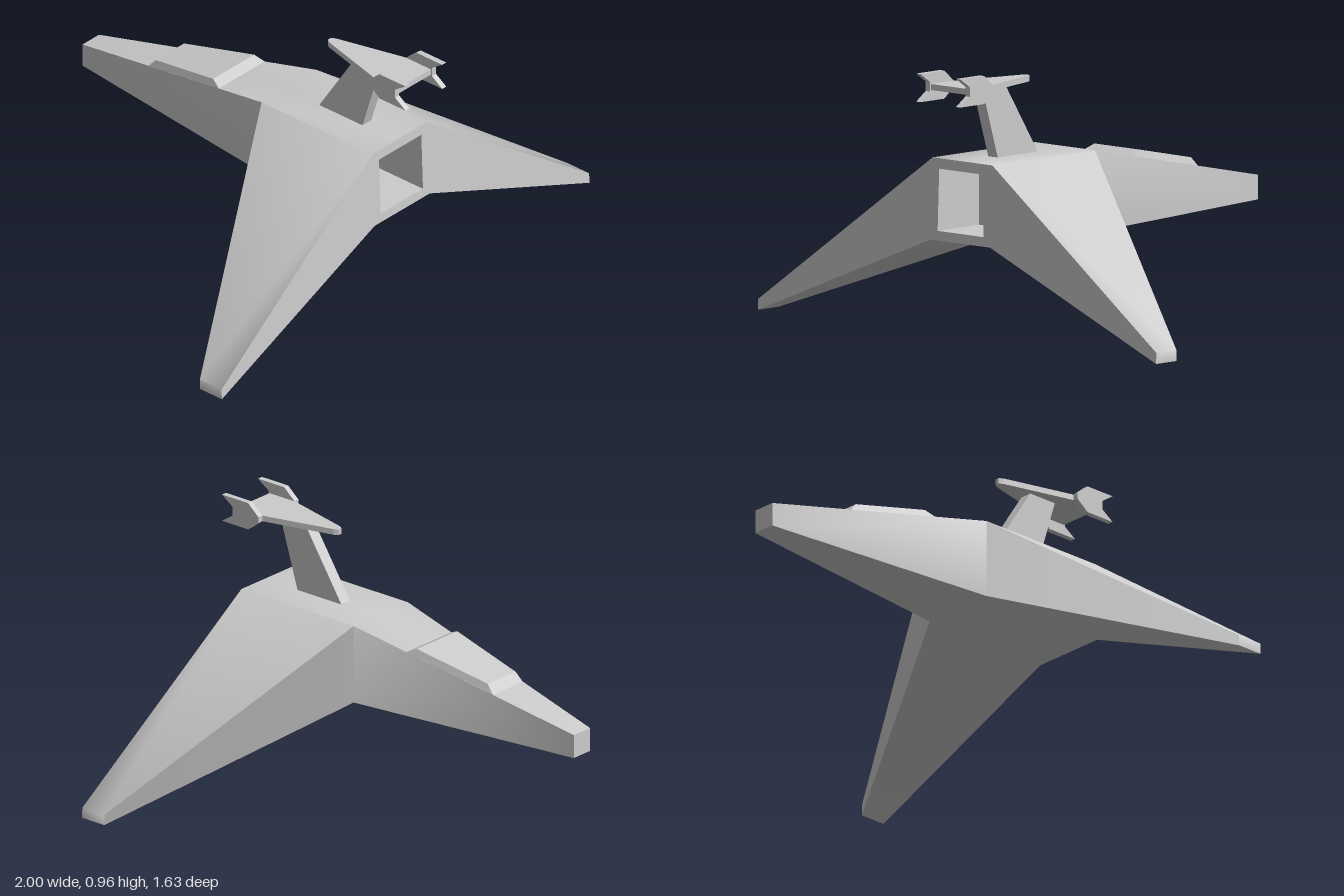
import * as THREE from 'three';
import { toCreasedNormals } from 'three/addons/utils/BufferGeometryUtils.js';

const material = new THREE.MeshStandardMaterial({ color: 0xcccccc });

function addMesh(group, name, geometry) {
  const mesh = new THREE.Mesh(geometry, material);
  mesh.name = name;
  group.add(mesh);
  return mesh;
}

// Corner quads of the +x half, mirrored to -x, smoothed below the crease angle
function mirroredQuads(quads, crease) {
  const pos = [];
  for (const s of [1, -1]) {
    for (const q of quads) {
      const [a, b, c, d] = s > 0 ? q : [q[0], q[3], q[2], q[1]];
      for (const p of [a, b, c, a, c, d]) pos.push(s * p[0], p[1], p[2]);
    }
  }
  const g = new THREE.BufferGeometry();
  g.setAttribute('position', new THREE.Float32BufferAttribute(pos, 3));
  return toCreasedNormals(g, crease);
}

// Same point on the centre plane
const C = (p) => [0, p[1], p[2]];

// Side profile of [z, y] points, extruded along x and centred on x
function sidePlate(points, x, thickness) {
  const shape = new THREE.Shape(points.map(([z, y]) => new THREE.Vector2(z, y)));
  const g = new THREE.ExtrudeGeometry(shape, { depth: thickness, bevelEnabled: false });
  g.rotateY(-Math.PI / 2);
  g.translate(x + thickness / 2, 0, 0);
  return g;
}

export function createModel() {
  const model = new THREE.Group();
  model.name = 'aircraft';

  // Fuselage corners: rear, wing root front, nose (t = top, b = bottom)
  const Rt = [0.15, 0.64, 0.688], Rb = [0.15, 0.34, 0.7];
  const Ft = [0.15, 0.64, 0.15], Fb = [0.15, 0.34, 0.15];
  const Nt = [0.045, 0.44, -0.815], Nb = [0.045, 0.35, -0.815];
  // Wing tip corners: front and rear
  const Tft = [1, 0.04, 0.61], Tfb = [1, 0, 0.61];
  const Trt = [1, 0.04, 0.715], Trb = [1, 0, 0.717];
  // Rear recess: opening and inner end
  const Ot = [0.115, 0.602, 0.69], Ob = [0.115, 0.375, 0.698];
  const Dt = [0.115, 0.602, 0.48], Db = [0.115, 0.375, 0.48];

  addMesh(model, 'fuselageAndWings', mirroredQuads([
    [C(Rt), Rt, Ft, C(Ft)],      // rear top
    [C(Ft), Ft, Nt, C(Nt)],      // nose top
    [Rb, C(Rb), C(Fb), Fb],      // rear bottom
    [Fb, C(Fb), C(Nb), Nb],      // nose bottom
    [C(Nb), C(Nt), Nt, Nb],      // nose cap
    [Ft, Fb, Nb, Nt],            // nose side
    [Rt, Trt, Tft, Ft],          // wing top
    [Rb, Fb, Tfb, Trb],          // wing bottom
    [Ft, Tft, Tfb, Fb],          // leading face
    [Rt, Rb, Trb, Trt],          // trailing face
    [Trt, Trb, Tfb, Tft],        // wing tip
    [C(Rt), C(Ot), Ot, Rt],      // frame around the recess
    [Rt, Ot, Ob, Rb],
    [Rb, Ob, C(Ob), C(Rb)],
  ], 1.1));

  addMesh(model, 'exhaustRecess', mirroredQuads([
    [Ot, C(Ot), C(Dt), Dt],
    [Ot, Dt, Db, Ob],
    [C(Ob), Ob, Db, C(Db)],
    [C(Dt), C(Db), Db, Dt],
  ], 0.5));

  // Low raised canopy on the sloping nose
  const A = [0.125, 0.592, -0.08], B = [0.112, 0.611, -0.12];
  const E = [0.077, 0.547, -0.43], G = [0.083, 0.513, -0.46];
  addMesh(model, 'canopy', mirroredQuads([
    [C(A), A, B, C(B)],
    [C(B), B, E, C(E)],
    [C(E), E, G, C(G)],
    [A, G, E, B],
  ], 0.3));

  // Swept tail fin
  addMesh(model, 'tailFin', sidePlate(
    [[0.522, 0.62], [0.61, 0.905], [0.49, 0.905], [0.305, 0.62]], 0, 0.048));

  // Tailplane: narrow rounded front widening to a straight rear
  const half = [[0.008, 0.345], [0.018, 0.36], [0.09, 0.64], [0.09, 0.76]];
  const outline = [...half, ...half.map(([x, z]) => [-x, z]).reverse()];
  const plane = new THREE.ExtrudeGeometry(
    new THREE.Shape(outline.map(([x, z]) => new THREE.Vector2(x, z))),
    { depth: 0.022, bevelEnabled: false });
  plane.rotateX(Math.PI / 2);
  plane.translate(0, 0.922, 0);
  addMesh(model, 'tailplane', plane);

  // Notched end plates
  const notch = [[0.64, 0.9], [0.69, 0.861], [0.815, 0.861], [0.765, 0.895],
    [0.765, 0.93], [0.815, 0.964], [0.69, 0.964], [0.64, 0.922]];
  for (const s of [1, -1]) {
    addMesh(model, s > 0 ? 'leftEndPlate' : 'rightEndPlate', sidePlate(notch, s * 0.1, 0.022));
  }

  return model;
}
